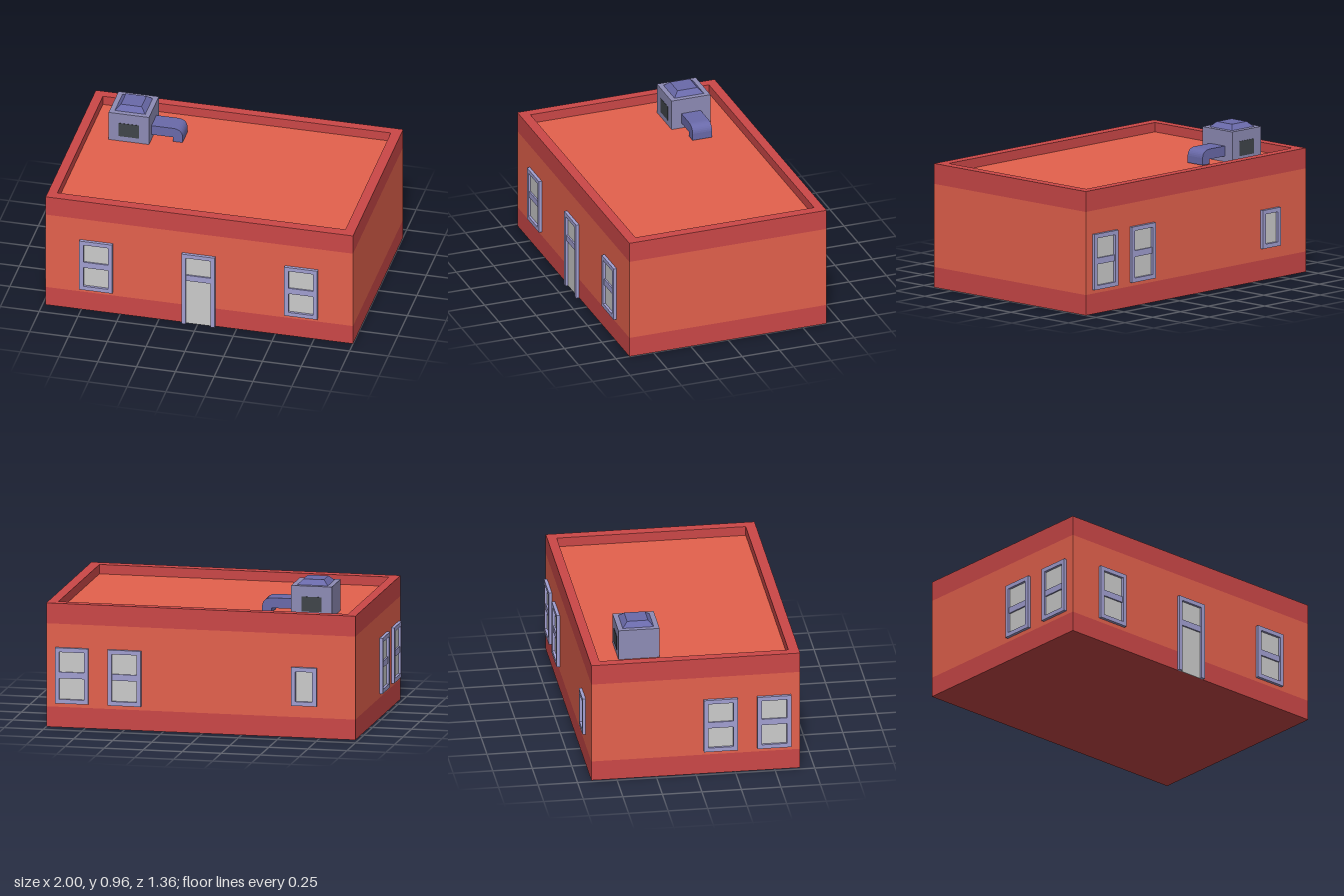
import * as THREE from 'three';

const mat = (color) => new THREE.MeshStandardMaterial({ color, flatShading: true });
const WALL = mat(0xe5624d), BAND = mat(0xcc4848), FRAME = mat(0xa2a0d2);
const UNIT = mat(0x8e8cb6), METAL = mat(0x6a6aaa), VENT = mat(0x40454a), GLASS = mat(0xcccccc);

function add(parent, name, geometry, material) {
  const mesh = new THREE.Mesh(geometry, material);
  mesh.name = name;
  parent.add(mesh);
  return mesh;
}

// Box given by its limits on each axis
function block(parent, name, [x0, x1], [y0, y1], [z0, z1], material) {
  const g = new THREE.BoxGeometry(x1 - x0, y1 - y0, z1 - z0);
  g.translate((x0 + x1) / 2, (y0 + y1) / 2, (z0 + z1) / 2);
  return add(parent, name, g, material);
}

const rect = (x0, y0, x1, y1, Type = THREE.Shape) => new Type([
  new THREE.Vector2(x0, y0), new THREE.Vector2(x1, y0),
  new THREE.Vector2(x1, y1), new THREE.Vector2(x0, y1),
]);

// Framed opening on the local z = 0 plane, facing +z
function opening(name, w, y0, y1, { bar = true, sill = true } = {}) {
  const group = new THREE.Group();
  group.name = name;
  const t = 0.027, h = w / 2, i = h - t, depth = 0.02;
  let shape;
  if (sill) {
    shape = rect(-h, y0, h, y1);
    shape.holes.push(rect(-i, y0 + t, i, y1 - t, THREE.Path));
  } else {
    shape = new THREE.Shape([
      [-h, y0], [-i, y0], [-i, y1 - t], [i, y1 - t], [i, y0], [h, y0], [h, y1], [-h, y1],
    ].map(([x, y]) => new THREE.Vector2(x, y)));
  }
  add(group, 'frame', new THREE.ExtrudeGeometry(shape, { depth, bevelEnabled: false }), FRAME);
  block(group, 'pane', [-i, i], [sill ? y0 + t : y0, y1 - t], [0, 0.004], GLASS);
  if (bar) block(group, 'crossbar', [-i, i], [0.315, 0.355], [0, 0.014], FRAME);
  return group;
}

export function createModel() {
  const model = new THREE.Group();
  model.name = 'building';
  const X = [-0.98, 1], Z = [-0.66, 0.66];

  // Walls in three bands
  block(model, 'baseBand', X, [0, 0.13], Z, BAND);
  block(model, 'walls', X, [0.13, 0.66], Z, WALL);

  // Parapet ring with the sunken roof inside it
  const ring = rect(X[0], Z[0], X[1], Z[1]);
  ring.holes.push(rect(-0.92, -0.595, 0.935, 0.6, THREE.Path));
  const parapet = new THREE.ExtrudeGeometry(ring, { depth: 0.13, bevelEnabled: false });
  parapet.rotateX(-Math.PI / 2).translate(0, 0.66, 0);
  add(model, 'parapet', parapet, BAND);
  block(model, 'roof', [-0.92, 0.935], [0.66, 0.73], [-0.6, 0.595], WALL);

  // Windows and door
  const place = (part, x, z, turn) => {
    part.position.set(x, 0, z);
    part.rotation.y = turn;
    model.add(part);
  };
  for (const x of [-0.653, 0.668]) place(opening('frontWindow', 0.213, 0.155, 0.51), x, Z[1], 0);
  place(opening('door', 0.213, 0, 0.51, { sill: false }), 0.006, Z[1], 0);
  for (const x of [0.498, 0.835]) place(opening('backWindow', 0.213, 0.155, 0.51), x, Z[0], Math.PI);
  place(opening('smallBackWindow', 0.162, 0.205, 0.45, { bar: false }), -0.653, Z[0], Math.PI);
  for (const z of [0.157, 0.495]) place(opening('sideWindow', 0.213, 0.155, 0.51), X[0], z, -Math.PI / 2);

  // Rooftop ventilation unit
  const unit = new THREE.Group();
  unit.name = 'ventilationUnit';
  model.add(unit);
  block(unit, 'housing', [-0.785, -0.525], [0.73, 0.928], [-0.46, -0.2], UNIT);
  for (const z of [-0.46, -0.2]) {
    block(unit, 'vent', [-0.72, -0.59], [0.765, 0.86], [z - 0.002, z + 0.002], VENT);
  }
  const cap = new THREE.CylinderGeometry(0.066 * Math.SQRT2, 0.098 * Math.SQRT2, 0.032, 4);
  cap.rotateY(Math.PI / 4).translate(-0.655, 0.944, -0.33);
  add(unit, 'cap', cap, METAL);

  // Duct that bends down to the roof
  const side = new THREE.Shape();
  side.moveTo(-0.53, 0.765);
  side.lineTo(-0.385, 0.765);
  side.lineTo(-0.385, 0.735);
  side.lineTo(-0.325, 0.735);
  side.lineTo(-0.325, 0.78);
  side.quadraticCurveTo(-0.33, 0.83, -0.39, 0.83);
  side.lineTo(-0.53, 0.83);
  const duct = new THREE.ExtrudeGeometry(side, { depth: 0.13, bevelEnabled: false, curveSegments: 8 });
  duct.translate(0, 0, -0.395);
  add(unit, 'duct', duct, METAL);

  return model;
}
